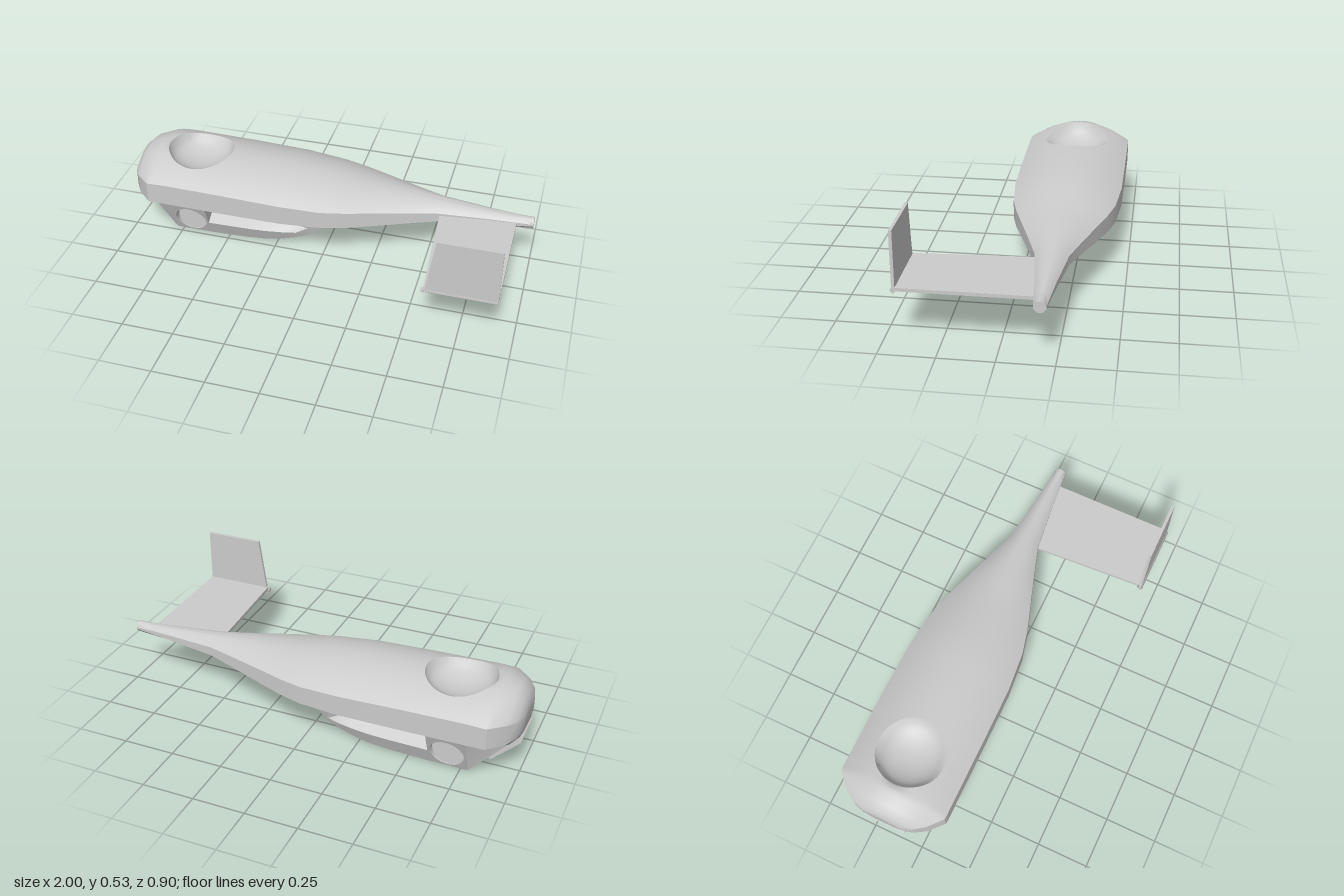
import * as THREE from 'three';
import { toCreasedNormals, mergeVertices } from 'three/addons/utils/BufferGeometryUtils.js';

const CZ = -0.183; // centre plane of the fuselage
const grey = new THREE.MeshStandardMaterial({ color: 0xcccccc, side: THREE.DoubleSide });

function add(parent, name, geometry, x = 0, y = 0, z = 0) {
  const mesh = new THREE.Mesh(geometry, grey);
  mesh.name = name;
  mesh.position.set(x, y, z);
  parent.add(mesh);
  return mesh;
}

// Skin over closed rings of [x, y, z] points, with end caps
function loft(rings, crease = 0.5) {
  const n = rings[0].length, pos = [], idx = [];
  rings.forEach(r => r.forEach(p => pos.push(...p)));
  for (let s = 0; s < rings.length - 1; s++) {
    for (let i = 0; i < n; i++) {
      const j = (i + 1) % n, a = s * n + i, b = s * n + j;
      idx.push(a, b, a + n, b, b + n, a + n);
    }
  }
  [0, rings.length - 1].forEach((s, end) => {
    const c = pos.length / 3;
    pos.push(...[0, 1, 2].map(k => rings[s].reduce((t, p) => t + p[k], 0) / n));
    for (let i = 0; i < n; i++) {
      const a = s * n + i, b = s * n + (i + 1) % n;
      idx.push(c, end ? a : b, end ? b : a);
    }
  });
  const g = new THREE.BufferGeometry();
  g.setAttribute('position', new THREE.Float32BufferAttribute(pos, 3));
  g.setIndex(idx);
  return toCreasedNormals(mergeVertices(g, 1e-5), crease);
}

// Mirrored ring from a half profile of [halfWidth, y], top to bottom
function mirrorRing(x, half) {
  return [...half.slice().reverse().map(([h, y]) => [x, y, -h]), ...half.map(([h, y]) => [x, y, h])];
}

// Interpolate a row of station values at x
function sample(rows, x) {
  let i = 0;
  while (i < rows.length - 2 && x > rows[i + 1][0]) i++;
  const t = (x - rows[i][0]) / (rows[i + 1][0] - rows[i][0]);
  return rows[i].map((v, k) => THREE.MathUtils.lerp(v, rows[i + 1][k], t));
}

// Fuselage stations: x, half width, crown, upper edge, lower edge, belly
const STATIONS = [
  [-1, 0.1, 0.33, 0.3, 0.24, 0.215], [-0.985, 0.15, 0.367, 0.31, 0.225, 0.185],
  [-0.95, 0.205, 0.4, 0.318, 0.217, 0.16], [-0.88, 0.268, 0.418, 0.322, 0.215, 0.15],
  [-0.8, 0.268, 0.418, 0.325, 0.215, 0.17], [-0.5, 0.268, 0.407, 0.32, 0.212, 0.18],
  [-0.2, 0.266, 0.4, 0.31, 0.21, 0.18], [0, 0.247, 0.383, 0.3, 0.21, 0.182],
  [0.12, 0.217, 0.362, 0.298, 0.213, 0.186], [0.25, 0.174, 0.35, 0.295, 0.22, 0.195],
  [0.4, 0.124, 0.338, 0.29, 0.23, 0.207], [0.55, 0.076, 0.323, 0.285, 0.24, 0.222],
  [0.8, 0.046, 0.302, 0.279, 0.252, 0.238], [1, 0.027, 0.292, 0.273, 0.262, 0.246],
];
const BOWL = { x: -0.685, r: 0.165, depth: 0.09, rim: 0.41 };

function fuselageGeometry() {
  const xs = STATIONS.map(s => s[0]).filter(x => x < -0.9 || x > -0.45);
  for (let i = -26; i <= 26; i++) if (Math.abs(i) <= 10 || i % 2 === 0) xs.push(BOWL.x + i * BOWL.r / 20 * (Math.abs(i) <= 10 ? 2 : 1) * 1);
  const bowlRows = [...new Set(xs.map(x => +x.toFixed(4)))].sort((a, b) => a - b);
  const us = [];
  const uRim = BOWL.r / 0.268;
  for (let i = -10; i <= 10; i++) us.push(uRim * i / 10);
  [0.7, 0.8, 0.9, 1].forEach(u => { us.push(u); us.unshift(-u); });
  const rings = bowlRows.map(x => {
    const [, w, , , edgeLow, belly] = sample(STATIONS, x);
    const top = us.map(u => {
      let px = x, pz = u * w, m = 2;
      // bend the square grid into circles around the bowl
      const dx = x - BOWL.x, e = Math.hypot(dx, pz);
      m = Math.max(Math.abs(dx), Math.abs(pz)) / BOWL.r;
      if (m < 1.4 && e > 0 && Math.abs(u) < 1) {
        const k = THREE.MathUtils.lerp(m * BOWL.r / e, 1, Math.max(0, (m - 1) / 0.4));
        px = BOWL.x + dx * k;
        pz *= k;
      }
      const [, pw, crown, edge] = sample(STATIONS, px);
      let y = edge + (crown - edge) * (1 - Math.min(1, (pz / pw) ** 2));
      if (m < 1) y = Math.min(y, BOWL.rim - BOWL.depth * Math.sqrt(1 - m * m));
      return [px, y, pz];
    });
    const bottom = [1, 0.85, 0.7, 0.55, 0.3, 0, -0.3, -0.55, -0.7, -0.85, -1]
      .map(u => [x, edgeLow - (edgeLow - belly) * Math.min(1, (1 - Math.abs(u)) * 2.2), u * w]);
    return [...top, ...bottom];
  });
  return loft(rings, 0.55);
}

// Flat plate from outline points, extruded by t
function plate(points, t) {
  const shape = new THREE.Shape(points.map(p => new THREE.Vector2(...p)));
  return new THREE.ExtrudeGeometry(shape, { depth: t, bevelEnabled: false });
}

function buildPod() {
  const pod = new THREE.Group();
  pod.name = 'bellyPod';
  const sideZ = y => 0.155 + 0.4 * y; // sloping side of the pod

  // Wedge under the nose
  add(pod, 'podNose', loft([
    mirrorRing(-0.95, [[0.13, 0.21], [0.12, 0.165]]),
    mirrorRing(-0.785, [[sideZ(0.21), 0.21], [0.155, 0]]),
  ], 0.3));
  add(pod, 'podCore', new THREE.BoxGeometry(0.185, 0.2, 0.31), -0.6925, 0.1, 0);

  // Side panels with a round recessed port
  for (const side of [1, -1]) {
    const shape = new THREE.Shape([[-0.785, 0], [-0.6, 0], [-0.6, 0.21], [-0.785, 0.21]].map(p => new THREE.Vector2(...p)));
    shape.holes.push(new THREE.Path().absarc(-0.692, 0.09, 0.08, 0, Math.PI * 2, true));
    const panel = new THREE.ShapeGeometry(shape, 16);
    const wall = new THREE.CylinderGeometry(0.08, 0.08, 1, 32, 1, true).rotateX(Math.PI / 2).translate(-0.692, 0.09, 0);
    for (const g of [panel, wall]) {
      const p = g.attributes.position;
      for (let i = 0; i < p.count; i++) {
        const outer = g === panel || p.getZ(i) > 0;
        p.setZ(i, side * (outer ? sideZ(p.getY(i)) : 0.155));
      }
      if (side < 0) g.setIndex([...g.index.array].reverse());
      g.computeVertexNormals();
    }
    add(pod, 'podSidePanel', panel);
    add(pod, 'portWall', wall);
    // Front wall of the side recess
    const end = new THREE.ShapeGeometry(new THREE.Shape([[0.12, 0], [0.155, 0], [sideZ(0.21), 0.21], [0.12, 0.21]]
      .map(([h, y]) => new THREE.Vector2(-side * h, y)))).rotateY(Math.PI / 2);
    add(pod, 'recessWall', end, -0.6);
  }

  // Long rear body with a notch along each side, sweeping up to the tail
  const keel = [[-0.6, 0], [-0.4, 0.005], [-0.3, 0.012], [-0.22, 0.025], [-0.15, 0.042], [-0.09, 0.062],
    [-0.04, 0.09], [0.01, 0.12], [0.07, 0.157], [0.13, 0.19]];
  add(pod, 'podRear', loft(keel.map(([x, yb]) => {
    const hb = 0.155 - 0.5 * yb;
    if (x < -0.1) return mirrorRing(x, [[0.16, 0.21], [0.127, 0.112], [hb + 0.4 * (0.08 - yb), 0.08], [hb, yb]]);
    return mirrorRing(x, [0.21, 0.112, 0.08, yb].map(y => {
      const yy = Math.max(y, yb);
      return [hb + 0.28 * (yy - yb), yy];
    }));
  }), 0.35));

  // Outlet at the back and slanted plate at the chin
  add(pod, 'rearOutlet', new THREE.BoxGeometry(0.14, 0.055, 0.106), -0.01, 0.1675, 0);
  add(pod, 'chinPlate', new THREE.BoxGeometry(0.18, 0.03, 0.21), -0.924, 0.124, 0).rotation.z = -0.77;
  pod.position.z = CZ;
  return pod;
}

export function createModel() {
  const model = new THREE.Group();
  model.name = 'aircraft';

  add(model, 'fuselage', fuselageGeometry(), 0, 0, CZ);
  add(model, 'tailBoom', new THREE.CylinderGeometry(0.027, 0.027, 0.4, 20).rotateZ(Math.PI / 2), 0.8, 0.269, CZ);
  model.add(buildPod());

  // Single tailplane with an upright fin at its tip
  const tail = new THREE.Group();
  tail.name = 'tail';
  const wing = plate([[0.55, CZ], [0.92, CZ], [0.92, 0.44], [0.585, 0.44]], 0.016).rotateX(Math.PI / 2);
  add(tail, 'tailplane', wing, 0, 0.273, 0);
  add(tail, 'fin', plate([[0.59, 0.257], [0.92, 0.257], [0.92, 0.533], [0.63, 0.533]], 0.014), 0, 0, 0.43);
  add(tail, 'finJoint', new THREE.CylinderGeometry(0.013, 0.013, 0.345, 4).rotateZ(Math.PI / 2), 0.7475, 0.258, 0.438);
  model.add(tail);
  return model;
}
